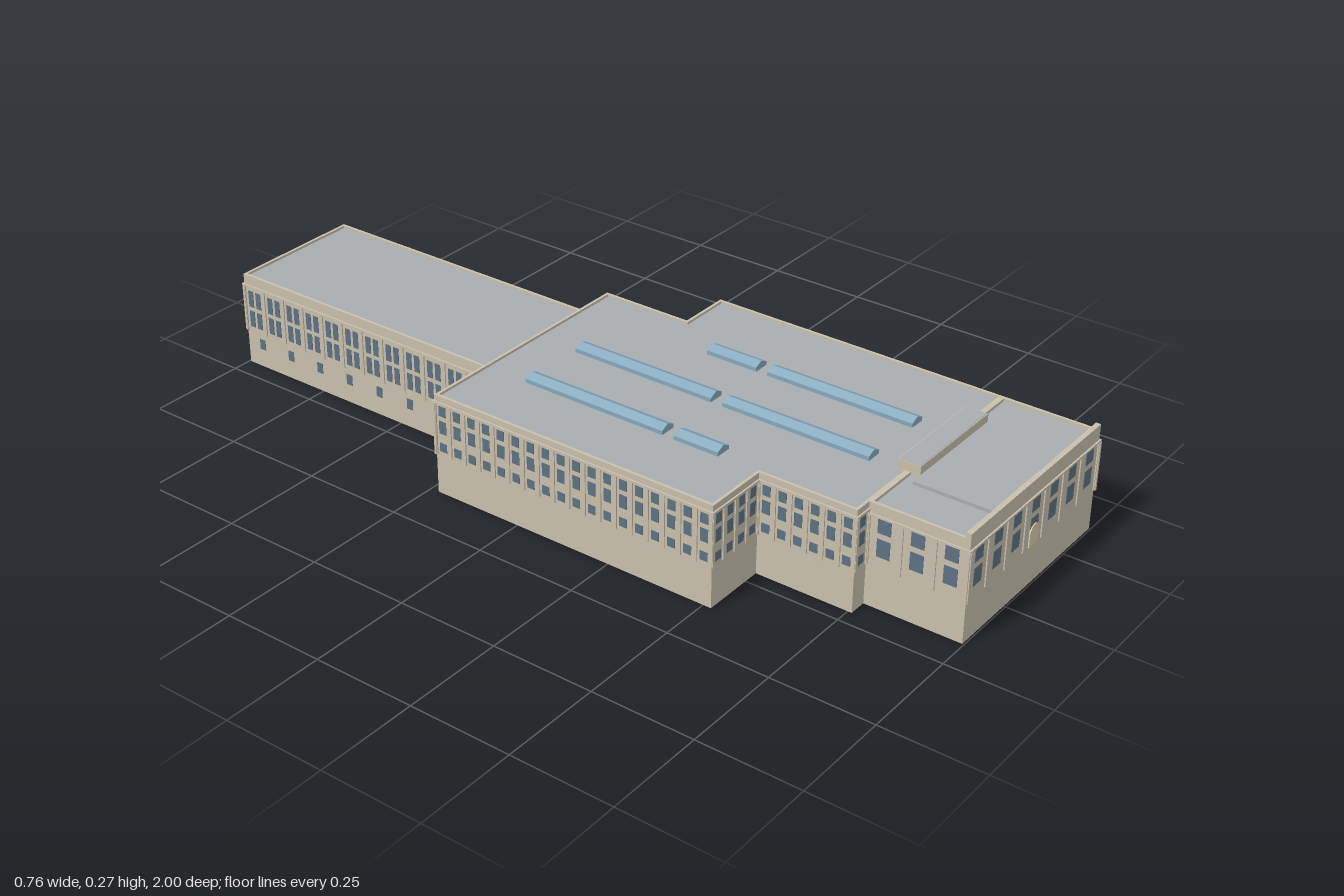
import * as THREE from 'three';
import { mergeGeometries } from 'three/addons/utils/BufferGeometryUtils.js';

const mat = (color, side = THREE.FrontSide) => new THREE.MeshStandardMaterial({ color, side });
const stone = mat(0xc8bfae);
const slate = mat(0xa9adb0, THREE.DoubleSide);
const pane = mat(0x5f7182);
const skyGlass = mat(0x86a8bd);
const doorStone = mat(0xd8cca8, THREE.DoubleSide);

function add(group, name, geometry, material) {
  const mesh = new THREE.Mesh(geometry, material);
  mesh.name = name;
  group.add(mesh);
  return mesh;
}

// box given by its minimum and maximum corners
function span(x0, x1, y0, y1, z0, z1) {
  return new THREE.BoxGeometry(x1 - x0, y1 - y0, z1 - z0)
    .translate((x0 + x1) / 2, (y0 + y1) / 2, (z0 + z1) / 2);
}

// offsets a right-angled plan outwards (d > 0) or inwards (d < 0)
function offset(plan, d) {
  const normal = (a, b) => {
    const l = Math.hypot(b[0] - a[0], b[1] - a[1]);
    return [-(b[1] - a[1]) / l, (b[0] - a[0]) / l];
  };
  return plan.map((p, i) => {
    const m = normal(plan[(i + plan.length - 1) % plan.length], p);
    const n = normal(p, plan[(i + 1) % plan.length]);
    return [p[0] + d * (m[0] + n[0]), p[1] + d * (m[1] + n[1])];
  });
}

const toPoints = plan => plan.map(([x, z]) => new THREE.Vector2(x, -z));

// hollow wall ring following a plan between two heights
function ring(plan, out, inn, y0, y1) {
  const shape = new THREE.Shape(toPoints(offset(plan, out)));
  shape.holes.push(new THREE.Path(toPoints(offset(plan, inn))));
  return new THREE.ExtrudeGeometry(shape, { depth: y1 - y0, bevelEnabled: false })
    .rotateX(-Math.PI / 2).translate(0, y0, 0);
}

// moves facade boxes (built along x, facing +z) on to the wall from a to b
function ontoWall(geometry, a, b) {
  return geometry.rotateY(Math.atan2(-(b[1] - a[1]), b[0] - a[0]))
    .translate((a[0] + b[0]) / 2, 0, (a[1] + b[1]) / 2);
}

function addFacades(group, spec) {
  const panes = [], pilasters = [];
  for (const [a, b] of spec.facades) {
    const length = Math.hypot(b[0] - a[0], b[1] - a[1]);
    const n = Math.max(1, Math.round(length / spec.bay));
    const step = length / n;
    for (let i = 0; i < n; i++) {
      const x = -length / 2 + (i + 0.5) * step;
      for (const [y0, y1] of spec.rows) for (const s of spec.lights) {
        panes.push(ontoWall(span(x + s - spec.width / 2, x + s + spec.width / 2, y0, y1, -0.001, 0.001), a, b));
      }
    }
    for (let i = 0; i <= n; i++) {
      const x = -length / 2 + i * step, w = spec.pilaster / 2;
      pilasters.push(ontoWall(span(x - w, x + w, spec.base, spec.ledge, -0.003, 0.003), a, b));
    }
    // small basement windows
    if (spec.basement) {
      const k = Math.round(length / 0.097);
      for (let i = 0; i < k; i++) {
        const x = -length / 2 + (i + 0.5) * length / k;
        panes.push(ontoWall(span(x - 0.009, x + 0.009, 0.048, 0.075, -0.001, 0.001), a, b));
      }
    }
  }
  add(group, 'windows', mergeGeometries(panes), pane);
  add(group, 'pilasters', mergeGeometries(pilasters), stone);
}

function makeBlock(name, spec) {
  const g = new THREE.Group();
  g.name = name;
  add(g, 'walls', ring(spec.plan, 0, -0.007, 0, spec.height), stone);
  add(g, 'cornice', ring(spec.plan, 0.004, -0.003, spec.ledge, spec.ledge + 0.005), stone);
  const roof = new THREE.ShapeGeometry(new THREE.Shape(toPoints(offset(spec.plan, -0.004))));
  add(g, 'roof', roof.rotateX(-Math.PI / 2).translate(0, spec.roof, 0), slate);
  addFacades(g, spec);
  return g;
}

// long gabled skylight
function skylight(x, z0, z1) {
  const s = new THREE.Shape([[-0.02, 0.243], [0.02, 0.243], [0.02, 0.254], [0, 0.263], [-0.02, 0.254]]
    .map(p => new THREE.Vector2(...p)));
  return new THREE.ExtrudeGeometry(s, { depth: z1 - z0, bevelEnabled: false }).translate(x, 0, z0);
}

export function createModel() {
  const model = new THREE.Group();
  model.name = 'building';

  // entrance block at the front
  const F = [[-0.168, 0.996], [0.374, 0.996], [0.374, 0.76], [-0.168, 0.76]];
  const front = makeBlock('frontBlock', {
    plan: F, height: 0.25, roof: 0.243, ledge: 0.22, base: 0.1, bay: 0.0775, pilaster: 0.011,
    width: 0.032, lights: [0], rows: [[0.127, 0.17], [0.184, 0.219]],
    facades: [[F[0], F[1]], [F[1], F[2]], [F[3], F[0]]],
  });
  add(front, 'frontParapet', span(-0.168, 0.374, 0.245, 0.263, 0.984, 0.996), stone);
  add(front, 'raisedRoof', span(-0.05, 0.255, 0.24, 0.251, 0.79, 0.984), slate);
  add(front, 'roofHouse', span(-0.02, 0.255, 0.24, 0.271, 0.735, 0.79), stone);
  add(front, 'roofHouseTop', span(-0.018, 0.253, 0.271, 0.272, 0.737, 0.788), slate);

  // arched doorway
  const arch = new THREE.Shape();
  arch.moveTo(-0.019, 0.1);
  arch.lineTo(0.019, 0.1);
  arch.lineTo(0.019, 0.133);
  arch.absarc(0, 0.133, 0.019, 0, Math.PI, false);
  arch.closePath();
  add(front, 'door', new THREE.ExtrudeGeometry(arch, { depth: 0.004, bevelEnabled: false })
    .translate(0.103, 0, 0.995), doorStone);
  model.add(front);

  // main hall with stepped plan
  const M = [[-0.212, 0.76], [0.374, 0.76], [0.374, 0.005], [0.24, 0.005],
    [0.24, -0.228], [-0.375, -0.228], [-0.375, 0.52], [-0.212, 0.52]];
  const main = makeBlock('mainHall', {
    plan: M, height: 0.25, roof: 0.244, ledge: 0.23, base: 0.1, bay: 0.0415, pilaster: 0.009,
    width: 0.02, lights: [0], rows: [[0.11, 0.132], [0.156, 0.188], [0.2, 0.225]],
    facades: [[M[0], F[3]], [M[1], M[2]], [M[2], M[3]], [M[3], M[4]], [M[4], [0.15, -0.228]],
      [[-0.2, -0.228], M[5]], [M[5], M[6]], [M[6], M[7]], [M[7], M[0]]],
  });
  const lights = [[-0.185, -0.11, 0.265], [-0.185, 0.295, 0.41], [-0.008, -0.11, 0.265],
    [-0.008, 0.295, 0.67], [0.165, 0.13, 0.265], [0.165, 0.295, 0.67]];
  add(main, 'skylights', mergeGeometries(lights.map(l => skylight(...l))), skyGlass);
  model.add(main);

  // long rear wing with paired windows
  const W = [[-0.2, -0.228], [0.15, -0.228], [0.15, -0.996], [-0.2, -0.996]];
  model.add(makeBlock('rearWing', {
    plan: W, height: 0.24, roof: 0.234, ledge: 0.21, base: 0.09, bay: 0.065, pilaster: 0.008,
    width: 0.016, lights: [-0.012, 0.012], rows: [[0.102, 0.145], [0.156, 0.199]], basement: true,
    facades: [[W[1], W[2]], [W[2], W[3]], [W[3], W[0]]],
  }));
  return model;
}
